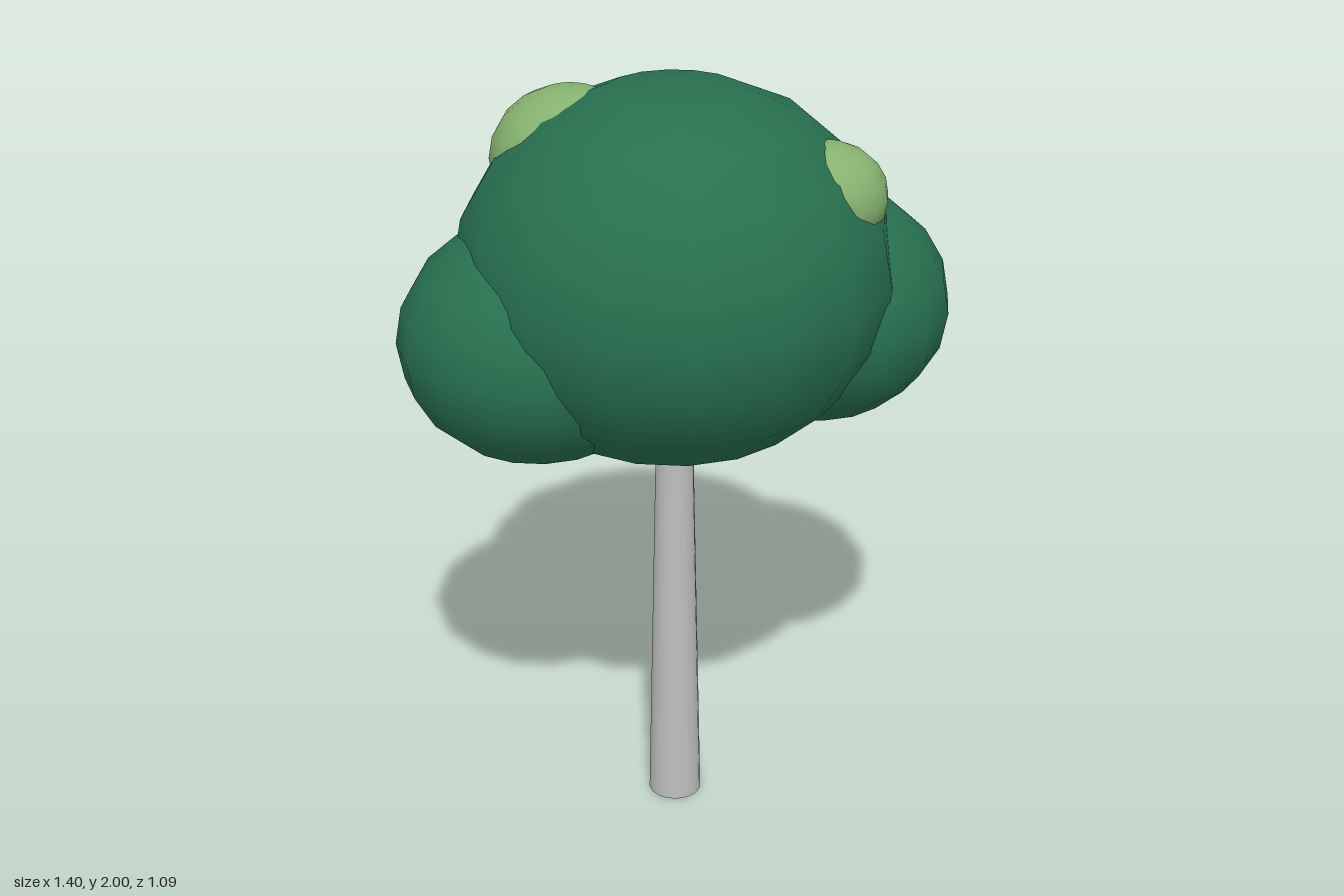
import * as THREE from 'three';

export function createModel() {
  const group = new THREE.Group();
  group.name = 'tree';

  const mat = (name, color) => {
    const m = new THREE.MeshStandardMaterial({ color });
    m.name = name;
    return m;
  };
  const leafGreen = mat('leafGreen', 0x27704f);
  const lightGreen = mat('lightGreen', 0x86b270);
  const trunkGrey = mat('trunkGrey', 0xbebebe);

  // Tapered trunk, its top hidden inside the crown
  const trunk = new THREE.Mesh(new THREE.CylinderGeometry(0.045, 0.07, 1.2, 16), trunkGrey);
  trunk.name = 'trunk';
  trunk.position.set(-0.015, 0.6, 0);
  group.add(trunk);

  // Foliage: slightly flattened smooth spheres that share one squash
  const squash = 0.872;
  const foliage = [
    ['crown', 0.545, [-0.015, 1.525, 0], leafGreen],
    ['leftLobe', 0.347, [0.349, 1.395, 0.062], leafGreen],
    ['rightLobe', 0.347, [-0.353, 1.38, -0.075], leafGreen],
    ['backHighlight', 0.2, [-0.2, 1.788, -0.188], lightGreen],
    ['frontHighlight', 0.15, [0.27, 1.739, 0.235], lightGreen],
  ];
  for (const [name, radius, position, material] of foliage) {
    const ball = new THREE.Mesh(new THREE.SphereGeometry(radius, 16, 10), material);
    ball.name = name;
    ball.scale.y = squash;
    ball.position.set(...position);
    group.add(ball);
  }

  return group;
}
